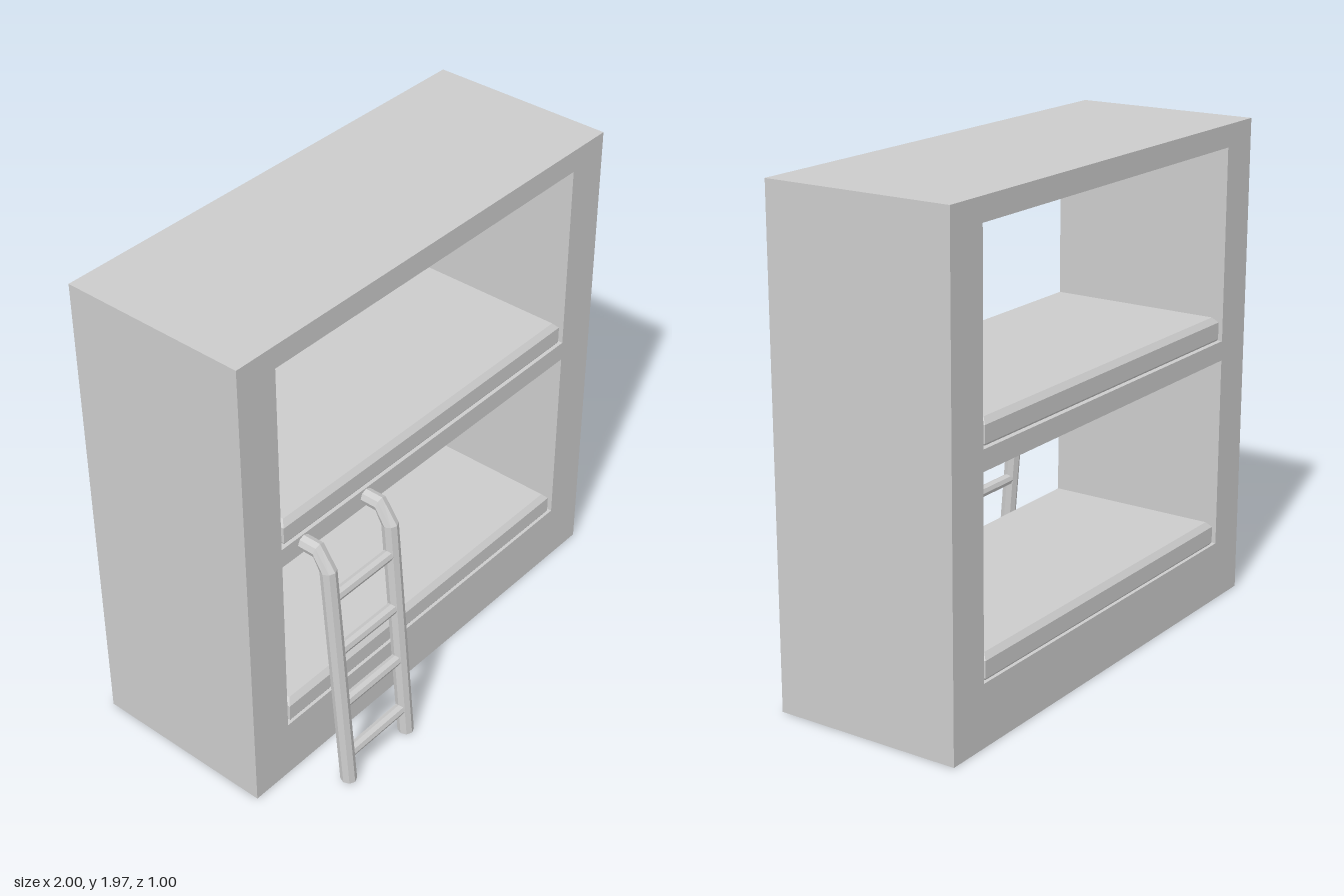
import * as THREE from 'three';

const grey = new THREE.MeshStandardMaterial({ color: 0xcccccc, flatShading: true });

function add(parent, name, geometry) {
  const mesh = new THREE.Mesh(geometry, grey);
  mesh.name = name;
  parent.add(mesh);
  return mesh;
}

// Rectangle outline, for the frame and its openings
function rect(PathType, halfWidth, y0, y1) {
  return new PathType([
    [-halfWidth, y0], [halfWidth, y0], [halfWidth, y1], [-halfWidth, y1],
  ].map(([x, y]) => new THREE.Vector2(x, y)));
}

// Box whose horizontal rows are drawn in to chamfer its top and bottom edges
function mattressGeometry(halfX, halfZ) {
  const rows = [[0, 0.005], [0.008, 0], [0.075, 0], [0.097, 0.02]]; // height, inset
  const geo = new THREE.BoxGeometry(2, 3, 2, 1, 3, 1);
  const pos = geo.attributes.position;
  for (let i = 0; i < pos.count; i++) {
    const [y, inset] = rows[Math.round(pos.getY(i) + 1.5)];
    pos.setXYZ(i, pos.getX(i) * (halfX - inset), y, pos.getZ(i) * (halfZ - inset));
  }
  geo.computeVertexNormals();
  return geo;
}

// Eight-sided rail bent over at the top, with mitred joints
function railGeometry(radius) {
  // centre y, centre z, then the y and z of the outward cut direction
  const rows = [
    [0.01, 0.467, 0, 1.05],
    [1.0, 0.383, 0.15, 1.05],
    [1.07, 0.338, 1, 0.25],
    [1.07, 0.265, 1, 0],
  ];
  const geo = new THREE.CylinderGeometry(radius, radius, 3, 8, 3);
  const pos = geo.attributes.position;
  for (let i = 0; i < pos.count; i++) {
    const [y, z, dy, dz] = rows[Math.round(pos.getY(i) + 1.5)];
    const out = pos.getZ(i);
    pos.setXYZ(i, pos.getX(i), y + dy * out, z + dz * out);
  }
  geo.computeVertexNormals();
  return geo;
}

export function createModel() {
  const model = new THREE.Group();
  model.name = 'bunkBed';

  // Solid surround with two openings running front to back
  const outline = rect(THREE.Shape, 1, 0, 1.97);
  outline.holes.push(rect(THREE.Path, 0.82, 0.247, 1.025), rect(THREE.Path, 0.82, 1.105, 1.88));
  const frame = add(model, 'frame',
    new THREE.ExtrudeGeometry(outline, { depth: 0.77, bevelEnabled: false }));
  frame.position.z = -0.5;

  // Mattresses
  const mattress = mattressGeometry(0.8, 0.378);
  [['lowerMattress', 0.249], ['upperMattress', 1.11]].forEach(([name, y]) => {
    add(model, name, mattress).position.set(0, y, -0.115);
  });

  // Ladder leaning on the upper bunk
  const ladder = new THREE.Group();
  ladder.name = 'ladder';
  ladder.position.x = -0.538;
  model.add(ladder);
  const rail = railGeometry(0.031);
  [['rightRail', -0.168], ['leftRail', 0.168]].forEach(([name, x]) => {
    add(ladder, name, rail).position.x = x;
  });

  // Rungs follow the lean of the rails
  const rung = new THREE.CylinderGeometry(0.024, 0.024, 0.31, 8).rotateZ(Math.PI / 2);
  for (let i = 0; i < 4; i++) {
    const y = 0.13 + i * 0.247;
    add(ladder, 'rung' + (i + 1), rung).position.set(0, y, 0.467 - (y - 0.01) * 0.085);
  }

  return model;
}
